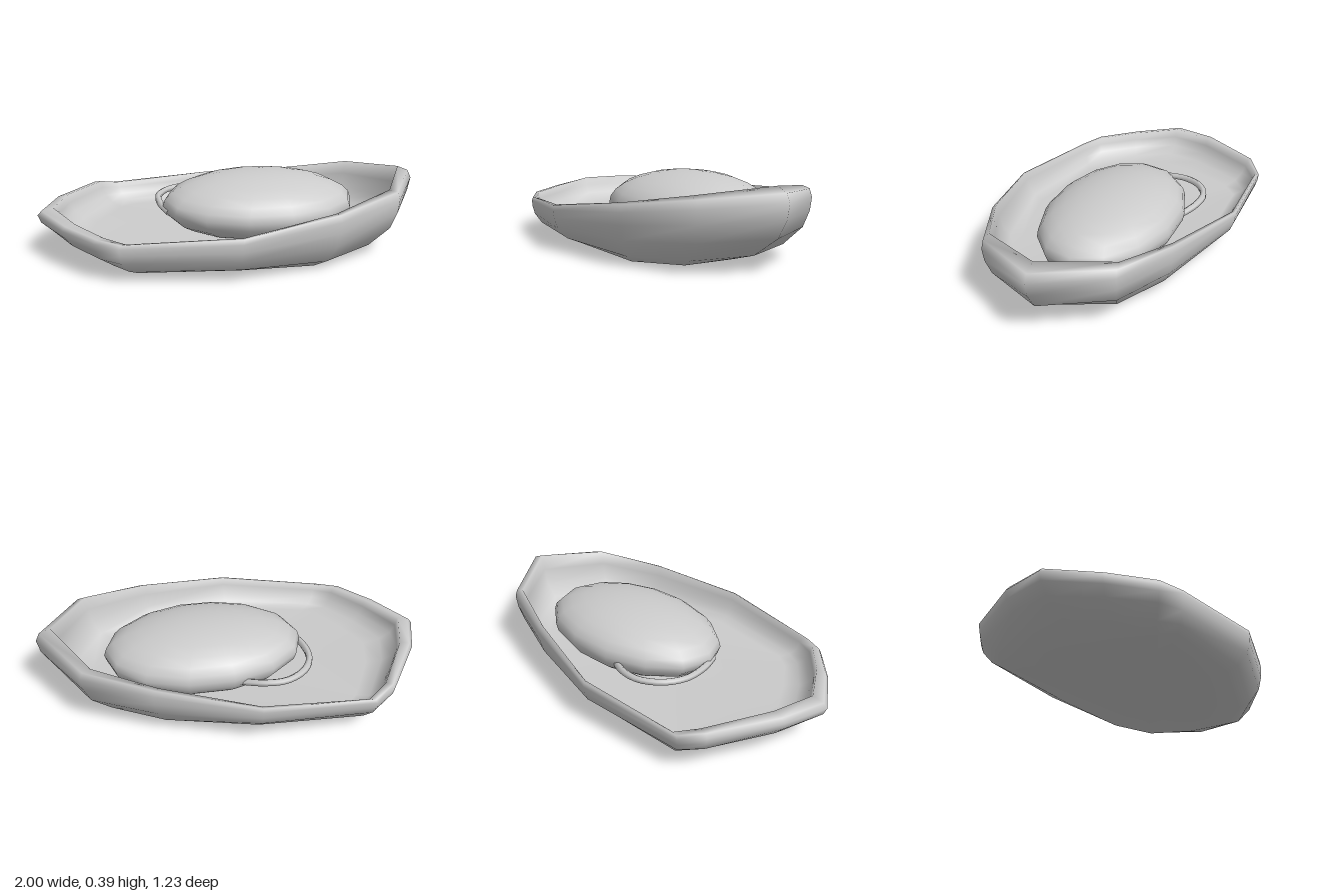
import * as THREE from 'three';

const grey = (side = THREE.FrontSide) => new THREE.MeshStandardMaterial({ color: 0xcccccc, side });

// Plan outline of the dish: x, z, rim height, fullness of the hull below
const outline = [
  [-1, 0, 0.24, 0], [-0.87, 0.24, 0.225, 0.25], [-0.72, 0.43, 0.215, 0.5], [-0.61, 0.495, 0.203, 0.7],
  [-0.05, 0.61, 0.235, 0.5], [0.45, 0.505, 0.293, 0.5], [0.805, 0.335, 0.343, 0.3], [1, 0, 0.37, 0],
  [0.785, -0.325, 0.345, 0.3], [0.45, -0.46, 0.3, 0.5], [-0.05, -0.62, 0.255, 0.5], [-0.61, -0.605, 0.22, 0.7],
  [-0.72, -0.535, 0.245, 0.5], [-0.92, -0.23, 0.25, 0.2],
];

// Cross-section from the underside over the rim to the floor:
// x scale, z scale, height as a fraction of the rim height
const section = [
  [0.3, 0.3, 0], [0.6, 0.6, 0], [0.77, 0.77, 0.14], [0.93, 0.93, 0.43],
  [0.985, 0.985, 0.68], [1, 1, 0.88], [0.98, 0.99, 1], [0.92, 0.965, 1.07],
  [0.91, 0.945, 0.82], [0.885, 0.91, 0.58], [0.83, 0.85, 0.39], [0.74, 0.76, 0.28],
];
const rimRing = 6;

// Underside dips toward the front and the raised end
const baseHeight = (x, z) => 0.05 - 0.1 * THREE.MathUtils.clamp(x, 0, 0.36) - 0.03 * z;

function dishGeometry() {
  const pos = [], index = [], n = outline.length;
  section.forEach(([sx, sz, f], ring) => {
    for (const [x, z, rim, full] of outline) {
      // Fuller columns carry their width further down
      const power = 1 - full * (ring < rimRing ? 1 : 0.4);
      const px = x * sx ** power, pz = z * sz ** power;
      const base = baseHeight(px, pz);
      const lift = f > 1 ? f - 0.1 * full : f;
      pos.push(px, base + lift * (rim - base), pz);
    }
  });
  // Skin between neighbouring loops
  for (let r = 0; r < section.length - 1; r++) {
    for (let i = 0; i < n; i++) {
      const j = (i + 1) % n;
      const a = r * n + i, b = r * n + j, c = a + n, d = b + n;
      index.push(a, b, d, a, d, c);
    }
  }
  // Close the underside and the inner floor
  const under = pos.length / 3;
  pos.push(0, 0.042, 0, 0, 0.1, 0);
  const last = (section.length - 1) * n;
  for (let i = 0; i < n; i++) {
    const j = (i + 1) % n;
    index.push(under, j, i, under + 1, last + i, last + j);
  }
  const g = new THREE.BufferGeometry();
  g.setAttribute('position', new THREE.Float32BufferAttribute(pos, 3));
  g.setIndex(index);
  g.computeVertexNormals();
  return g;
}

export function createModel() {
  const model = new THREE.Group();

  // Pointed shallow dish
  const dish = new THREE.Mesh(dishGeometry(), grey());
  dish.name = 'dish';
  model.add(dish);

  // Rounded oval mound resting in the dish
  const mound = new THREE.Mesh(new THREE.SphereGeometry(1, 14, 14), grey());
  mound.name = 'mound';
  mound.scale.set(0.515, 0.17, 0.35);
  mound.position.set(0.155, 0.222, -0.038);
  mound.rotation.x = 0.06;
  model.add(mound);

  // Slim curved band emerging from beneath the mound
  const path = new THREE.CatmullRomCurve3([
    [-0.33, 0.2, 0.02], [-0.365, 0.215, -0.1], [-0.365, 0.225, -0.24], [-0.31, 0.23, -0.34],
    [-0.21, 0.23, -0.4], [-0.1, 0.225, -0.395], [0.02, 0.2, -0.33],
  ].map((p) => new THREE.Vector3(...p)));
  const band = new THREE.Mesh(new THREE.TubeGeometry(path, 20, 0.018, 6), grey(THREE.DoubleSide));
  band.name = 'curvedBand';
  model.add(band);

  return model;
}
